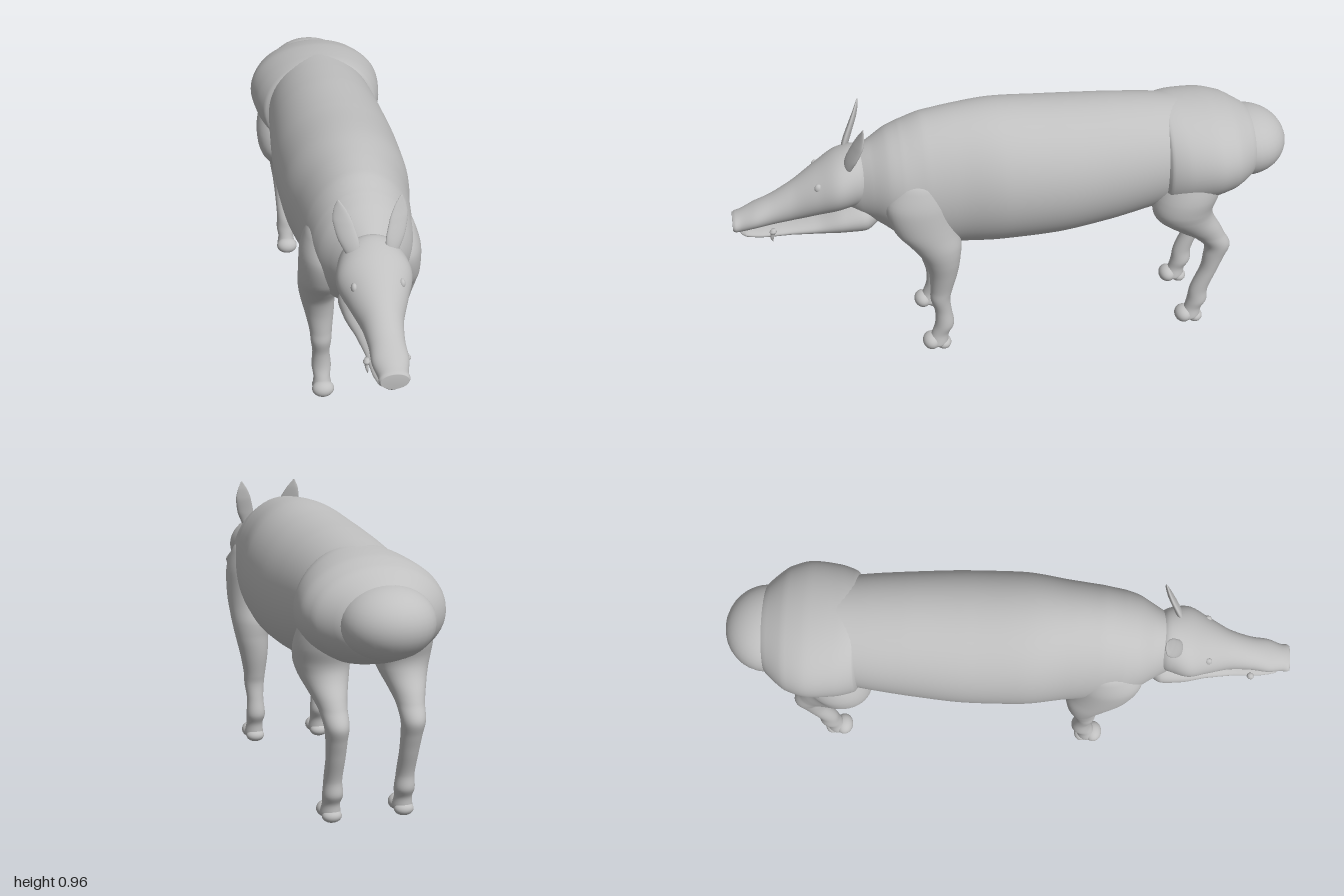
import * as THREE from 'three';

const hide = new THREE.MeshStandardMaterial({ color: 0xc0c0c0 });
hide.name = 'grey hide';

// Smooth closed skin over elliptical rings [x, y, z, r1, r2].
// axis 'z': rings face z, listed back to front; axis 'y': rings lie flat, listed top to bottom.
function loft(axis, sections, around = 40, perSection = 6) {
  const centres = new THREE.CatmullRomCurve3(sections.map(s => new THREE.Vector3(s[0], s[1], s[2])));
  const radii = new THREE.CatmullRomCurve3(sections.map(s => new THREE.Vector3(s[3], s[4], 0)));
  const steps = (sections.length - 1) * perSection;
  const positions = [], index = [];
  for (let i = 0; i <= steps; i++) {
    const c = centres.getPoint(i / steps), r = radii.getPoint(i / steps);
    for (let j = 0; j < around; j++) {
      const a = (j / around) * Math.PI * 2;
      const u = r.x * Math.cos(a), v = r.y * Math.sin(a);
      if (axis === 'z') positions.push(c.x + u, c.y + v, c.z);
      else positions.push(c.x + u, c.y, c.z + v);
    }
  }
  for (let i = 0; i < steps; i++) {
    for (let j = 0; j < around; j++) {
      const k = (j + 1) % around;
      const a = i * around + j, b = i * around + k;
      index.push(a, b, b + around, a, b + around, a + around);
    }
  }
  // end caps
  const first = sections[0], last = sections[sections.length - 1];
  const start = positions.length / 3;
  positions.push(first[0], first[1], first[2], last[0], last[1], last[2]);
  for (let j = 0; j < around; j++) {
    const k = (j + 1) % around, e = steps * around;
    index.push(start, k, j, start + 1, e + j, e + k);
  }
  const g = new THREE.BufferGeometry();
  g.setAttribute('position', new THREE.Float32BufferAttribute(positions, 3));
  g.setIndex(index);
  g.computeVertexNormals();
  return g;
}

function add(parent, name, geometry, position = [0, 0, 0], scale = [1, 1, 1]) {
  const m = new THREE.Mesh(geometry, hide);
  m.name = name;
  m.position.set(...position);
  m.scale.set(...scale);
  parent.add(m);
  return m;
}

const ball = new THREE.SphereGeometry(1, 32, 20);
const mirrorX = (sections, s) => sections.map(([x, ...rest]) => [x * s, ...rest]);

const BODY = [
  [0, 0.72, -0.82, 0.08, 0.08], [0, 0.72, -0.7, 0.17, 0.175], [0, 0.71, -0.5, 0.202, 0.21],
  [0, 0.698, -0.35, 0.217, 0.235], [0, 0.687, -0.15, 0.23, 0.257], [0, 0.688, 0.05, 0.227, 0.268],
  [0, 0.685, 0.2, 0.203, 0.264], [0, 0.677, 0.32, 0.19, 0.255], [0, 0.678, 0.4, 0.178, 0.225],
  [0, 0.69, 0.45, 0.16, 0.19], [0, 0.692, 0.5, 0.13, 0.155], [0, 0.687, 0.55, 0.1, 0.13],
  [0, 0.69, 0.6, 0.07, 0.08],
];
const HAUNCHES = [
  [0, 0.72, -0.9, 0.09, 0.08], [0, 0.717, -0.85, 0.165, 0.125], [0, 0.72, -0.78, 0.225, 0.16],
  [0, 0.72, -0.7, 0.247, 0.181], [0, 0.715, -0.6, 0.236, 0.195], [0, 0.71, -0.54, 0.214, 0.2],
  [0, 0.71, -0.52, 0.18, 0.18],
];
const HEAD = [
  [0, 0.71, 0.5, 0.08, 0.08], [0, 0.72, 0.55, 0.11, 0.108], [0, 0.706, 0.62, 0.127, 0.105],
  [0, 0.672, 0.7, 0.1, 0.09], [0, 0.635, 0.78, 0.07, 0.072], [0, 0.605, 0.86, 0.06, 0.053],
  [0, 0.587, 0.92, 0.061, 0.043], [0, 0.57, 0.97, 0.05, 0.037], [0, 0.566, 0.99, 0.051, 0.033],
  [0, 0.565, 1.0, 0.046, 0.028],
];
const JAW = [
  [0, 0.575, 0.48, 0.06, 0.04], [0, 0.573, 0.54, 0.108, 0.068], [0, 0.561, 0.62, 0.1, 0.056],
  [0, 0.541, 0.7, 0.076, 0.034], [0, 0.531, 0.8, 0.06, 0.021], [0, 0.527, 0.9, 0.055, 0.017],
  [0, 0.528, 0.955, 0.044, 0.014], [0, 0.528, 0.975, 0.025, 0.006],
];
const FRONT_LEG = [
  [0.12, 0.79, 0.33, 0.02, 0.03], [0.125, 0.74, 0.34, 0.06, 0.09], [0.13, 0.65, 0.35, 0.08, 0.12],
  [0.135, 0.55, 0.33, 0.077, 0.11], [0.135, 0.48, 0.295, 0.074, 0.09], [0.138, 0.42, 0.277, 0.062, 0.067],
  [0.132, 0.35, 0.272, 0.052, 0.052], [0.128, 0.27, 0.28, 0.04, 0.04], [0.128, 0.23, 0.285, 0.037, 0.036],
  [0.127, 0.17, 0.275, 0.031, 0.031], [0.126, 0.11, 0.272, 0.035, 0.035], [0.127, 0.07, 0.288, 0.03, 0.032],
  [0.127, 0.03, 0.298, 0.035, 0.038], [0.127, 0.015, 0.3, 0.02, 0.025],
];
const HIND_LEG = [
  [0.13, 0.72, -0.66, 0.08, 0.1], [0.138, 0.6, -0.615, 0.1, 0.115], [0.14, 0.54, -0.6, 0.094, 0.11],
  [0.138, 0.5, -0.61, 0.084, 0.105], [0.136, 0.44, -0.665, 0.06, 0.082], [0.134, 0.4, -0.706, 0.047, 0.06],
  [0.132, 0.35, -0.742, 0.041, 0.048], [0.13, 0.3, -0.734, 0.036, 0.04], [0.128, 0.24, -0.719, 0.033, 0.033],
  [0.127, 0.15, -0.686, 0.031, 0.034], [0.126, 0.1, -0.682, 0.035, 0.037], [0.127, 0.065, -0.668, 0.03, 0.032],
  [0.127, 0.03, -0.658, 0.035, 0.038], [0.127, 0.015, -0.655, 0.02, 0.025],
];
const EAR = [
  [0.05, 0.16, -0.03, 0.003, 0.002], [0.043, 0.13, -0.025, 0.021, 0.006], [0.032, 0.09, -0.015, 0.034, 0.01],
  [0.013, 0.04, 0, 0.036, 0.012], [-0.002, 0, 0.01, 0.028, 0.012], [-0.01, -0.04, 0.015, 0.01, 0.008],
];
const TUSK = [
  [0.066, 0.562, 0.86, 0.007, 0.008], [0.067, 0.545, 0.863, 0.007, 0.008],
  [0.066, 0.525, 0.867, 0.005, 0.006], [0.063, 0.508, 0.865, 0.001, 0.001],
];

function addFoot(parent, s, z) {
  add(parent, 'toe', ball, [s * 0.127, 0.036, z + 0.021], [0.04, 0.031, 0.033]);
  add(parent, 'heel', ball, [s * 0.127, 0.023, z - 0.023], [0.034, 0.023, 0.028]);
}

export function createModel() {
  const model = new THREE.Group();
  model.name = 'boar';

  // torso and rump
  add(model, 'body', loft('z', BODY, 64, 8));
  add(model, 'haunches', loft('z', HAUNCHES, 64));
  add(model, 'rump', ball, [0, 0.714, -0.85], [0.158, 0.121, 0.15]);

  // head
  const head = new THREE.Group();
  head.name = 'head';
  model.add(head);
  add(head, 'skull and snout', loft('z', HEAD, 48));
  add(head, 'lower jaw', loft('z', JAW));
  const rim = new THREE.TorusGeometry(0.011, 0.003, 10, 24);

  for (const s of [1, -1]) {
    const side = s > 0 ? 'left' : 'right';

    // face details
    add(head, side + 'Eye', ball, [s * 0.079, 0.724, 0.693], [0.011, 0.017, 0.014]);
    add(head, side + 'Nostril', rim, [s * 0.02, 0.568, 0.998], [1, 0.8, 0.6]);
    add(head, side + 'Tusk', loft('y', mirrorX(TUSK, s), 12, 4));
    const ear = add(head, side + 'Ear', loft('y', mirrorX(EAR, s), 28), [s * 0.068, 0.8, 0.575]);
    ear.rotation.y = s * 0.35;

    // legs
    const front = new THREE.Group();
    front.name = side + 'FrontLeg';
    add(front, 'shoulder and leg', loft('y', mirrorX(FRONT_LEG, s)));
    addFoot(front, s, 0.3);
    const hind = new THREE.Group();
    hind.name = side + 'HindLeg';
    add(hind, 'thigh and leg', loft('y', mirrorX(HIND_LEG, s)));
    addFoot(hind, s, -0.655);
    model.add(front, hind);
  }
  return model;
}
